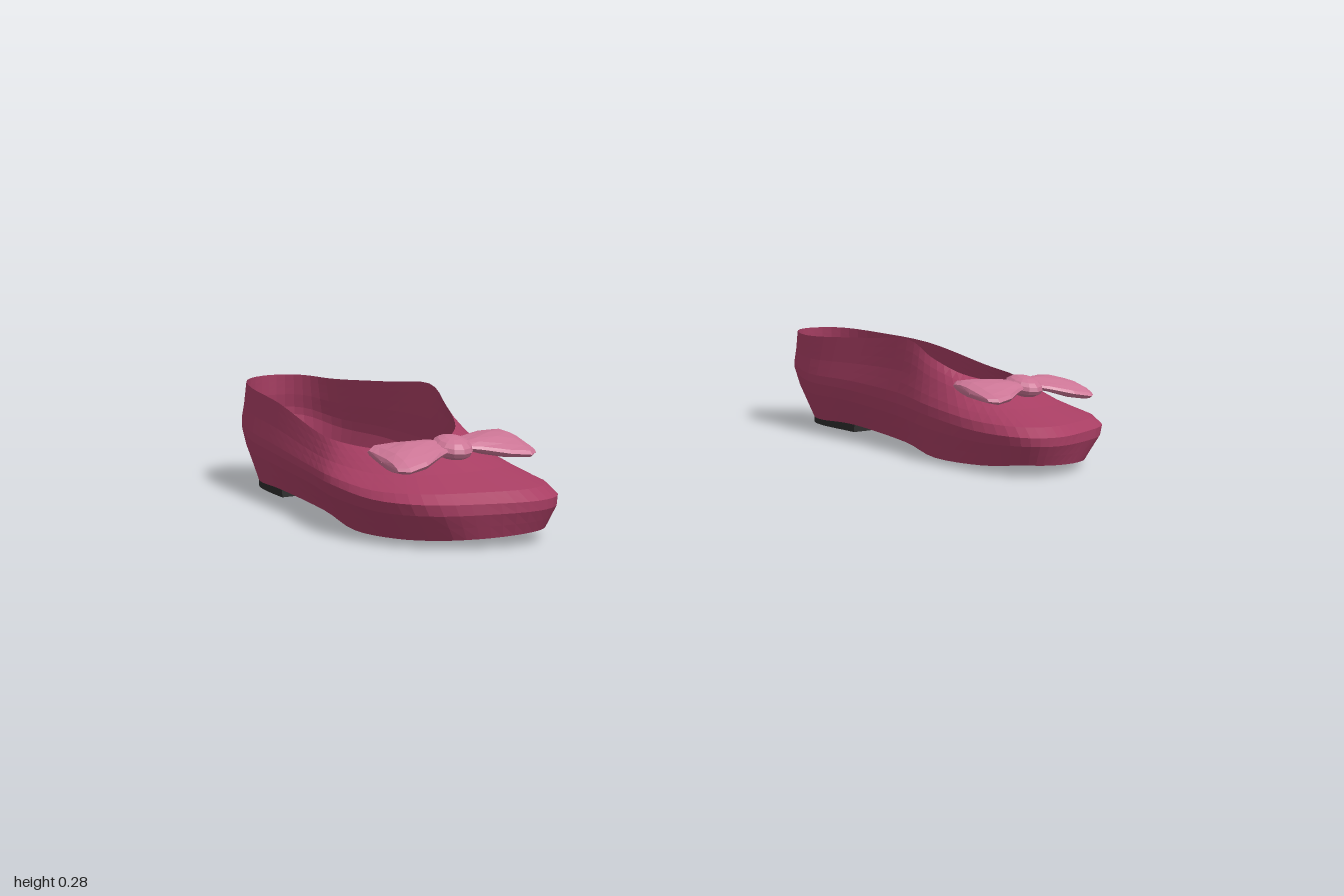
import * as THREE from 'three';

const mat = (name, color) => {
  const m = new THREE.MeshStandardMaterial({ color, flatShading: true, side: THREE.DoubleSide });
  m.name = name;
  return m;
};

// Matching loops of the left shoe: heel, outer side, toe, inner side (x, y, z)
const SOLE = [
  .79, .03, -.45, .855, .03, -.43, .895, .03, -.36, .913, .033, -.22, .925, .022, 0, .935, .004, .15,
  .93, .012, .32, .885, .02, .43, .80, .025, .485, .71, .03, .50, .655, .03, .46, .64, .015, .34,
  .655, .006, .15, .685, .022, 0, .70, .035, -.22, .705, .03, -.36, .735, .03, -.43];
const WIDE = [
  .785, .15, -.53, .87, .15, -.49, .915, .13, -.38, .94, .12, -.2, .963, .11, 0, .995, .11, .16,
  .985, .1, .32, .93, .1, .44, .82, .1, .50, .71, .1, .528, .635, .1, .48, .615, .1, .34,
  .633, .11, .15, .657, .12, 0, .663, .13, -.2, .675, .13, -.38, .715, .15, -.49];
const RIM = [
  .785, .245, -.525, .86, .245, -.485, .90, .24, -.38, .925, .23, -.2, .94, .195, 0, .935, .185, .1,
  .90, .18, .19, .85, .185, .23, .81, .19, .245, .77, .195, .24, .735, .2, .22, .70, .215, .175,
  .68, .245, .1, .673, .28, .02, .68, .265, -.15, .69, .245, -.38, .72, .245, -.485];
const N = 68;       // points around each loop
const HEEL_END = 12; // loop index where the heel patch stops

function loop(numbers) {
  const pts = [];
  for (let i = 0; i < numbers.length; i += 3) pts.push(new THREE.Vector3(...numbers.slice(i, i + 3)));
  const curve = new THREE.CatmullRomCurve3(pts, true, 'catmullrom');
  return Array.from({ length: N }, (_, i) => curve.getPoint(i / N));
}

// Surface through rows of points; side = -1 mirrors it across x = 0
function surface(name, rows, material, side) {
  const cols = rows[0].length, pos = [], idx = [];
  rows.flat().forEach(p => pos.push(p.x * side, p.y, p.z));
  for (let r = 0; r < rows.length - 1; r++) for (let c = 0; c < cols - 1; c++) {
    const a = r * cols + c, b = a + 1, d = a + cols, e = d + 1;
    if (side > 0) idx.push(a, d, b, b, d, e);
    else idx.push(a, b, d, b, e, d);
  }
  const g = new THREE.BufferGeometry();
  g.setAttribute('position', new THREE.Float32BufferAttribute(pos, 3));
  g.setIndex(idx);
  g.computeVertexNormals();
  const mesh = new THREE.Mesh(g, material);
  mesh.name = name;
  return mesh;
}

// Rows across a loop, pairing the outer and inner edges
function across(ring, from, to, reverse) {
  const rows = [];
  for (let i = from; i <= to; i++) {
    const row = [ring[i], ring[(N - i) % N]];
    rows.push(reverse ? row.reverse() : row);
  }
  return rows;
}

// One puffed bow loop, flaring away from the knot
function bowWing(dir, drop) {
  const stations = [[.02, .03, .008], [.05, .042, .014], [.10, .072, .018],
    [.145, .082, .016], [.165, .065, .010], [.168, .001, .001]];
  return stations.map(([d, halfZ, halfY]) => Array.from({ length: 15 }, (_, i) => {
    const a = (i % 14) / 14 * Math.PI * 2;
    const dz = Math.cos(a) * halfZ * dir;
    const pucker = 1 + .18 * Math.sin(3 * a + d * 30);
    return new THREE.Vector3(.79 + dir * d, .196 - drop * d / .168 + Math.sin(a) * halfY * pucker - dz * .18,
      .315 + dz);
  }));
}

function makeShoe(side, m) {
  const shoe = new THREE.Group();
  shoe.name = side > 0 ? 'leftShoe' : 'rightShoe';
  const sole = loop(SOLE), wide = loop(WIDE), rim = loop(RIM);

  // Upper: swept from the sole edge, over the widest line, up to the opening
  const ribs = sole.map((p, i) => new THREE.CatmullRomCurve3([p, wide[i],
    wide[i].clone().lerp(rim[i], .5), rim[i]]));
  const ringAt = v => ribs.map(rib => rib.getPoint(v));
  const upperRows = [];
  for (let k = 0; k <= 9; k++) {
    const ring = ringAt(k / 9);
    upperRows.push([...ring, ring[0]]);
  }
  shoe.add(surface('upper', upperRows, m.upper, side));

  // Outsole and insole with the dark heel patches
  const half = N / 2;
  shoe.add(surface('outsole', across(sole, 0, half), m.sole, side));
  const inner = ringAt(.05);
  inner.forEach(p => { p.y += .004; });
  shoe.add(surface('insole', across(inner, HEEL_END, half, true), m.sole, side));
  shoe.add(surface('heelPad', across(inner, 0, HEEL_END, true), m.black, side));

  // Low heel block under the sole
  const low = p => new THREE.Vector3(p.x, .016, p.z);
  const blockRows = across(sole, 0, HEEL_END).map(([a, b]) => [a, low(a), low(b), b]);
  const [a, , , b] = blockRows[blockRows.length - 1];
  blockRows.push([a, a, b, b]);
  shoe.add(surface('heelBlock', blockRows, m.black, side));

  // Bow on the toe
  const bow = new THREE.Group();
  bow.name = 'bow';
  bow.add(surface('outerBowLoop', bowWing(1, .022), m.bow, side));
  bow.add(surface('innerBowLoop', bowWing(-1, .012), m.bow, side));
  const knot = new THREE.Mesh(new THREE.SphereGeometry(1, 12, 8).scale(.042, .024, .052), m.bow);
  knot.name = 'bowKnot';
  knot.position.set(.79 * side, .19, .315);
  knot.rotation.x = .18;
  bow.add(knot);
  shoe.add(bow);
  return shoe;
}

export function createModel() {
  const m = {
    upper: mat('raspberry upper', 0xa83e63),
    bow: mat('pink bow', 0xcb7595),
    sole: mat('tan sole', 0xb4835f),
    black: mat('black heel', 0x2d2d2d),
  };
  const model = new THREE.Group();
  model.name = 'balletFlats';
  for (const side of [1, -1]) model.add(makeShoe(side, m));
  return model;
}
